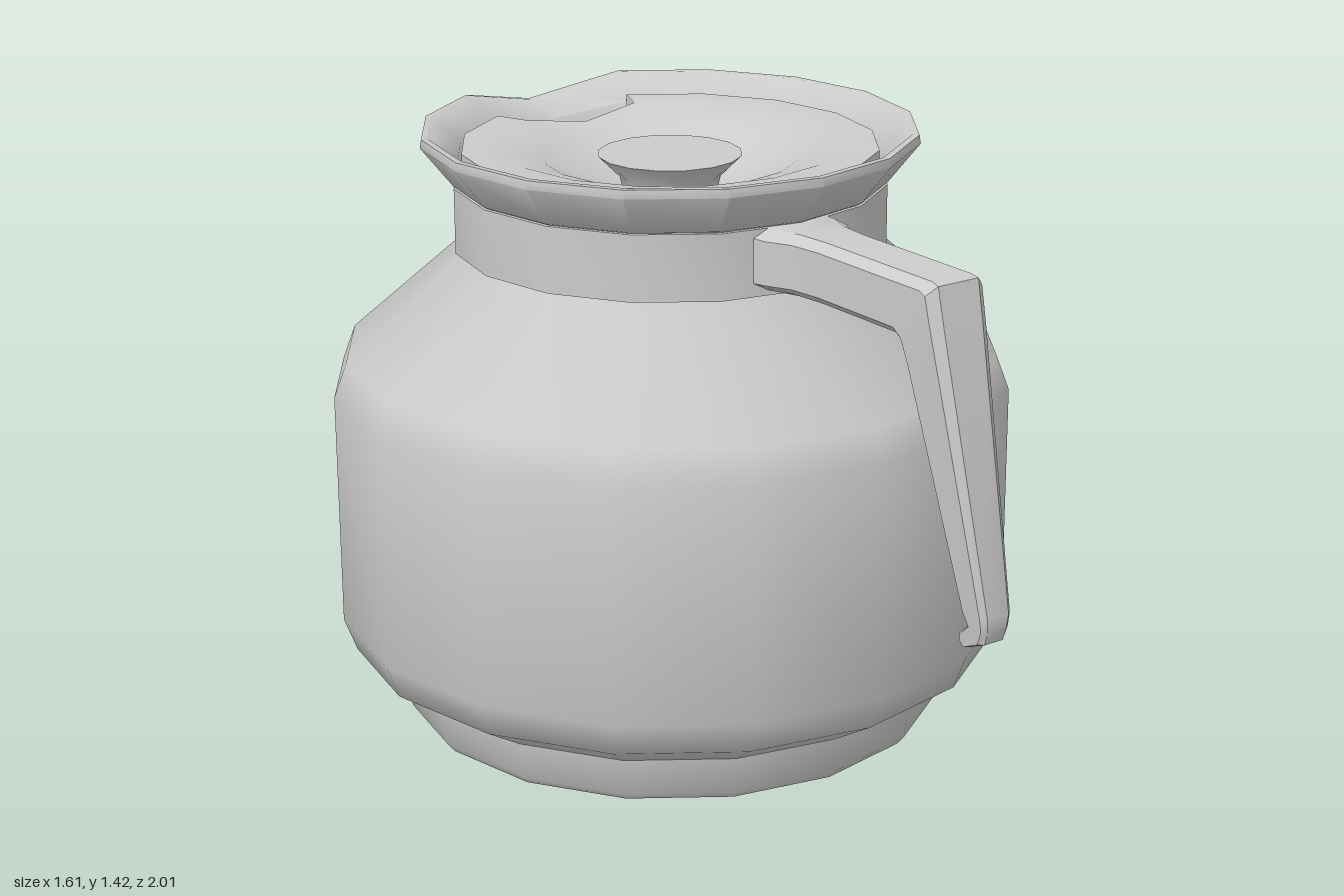
import * as THREE from 'three';
import { mergeGeometries, toCreasedNormals } from 'three/addons/utils/BufferGeometryUtils.js';

const SIDES = 16;
const AXIS_Z = -0.2; // the pot's axis sits behind the origin, the handle in front

const material = new THREE.MeshStandardMaterial({ color: 0xcccccc, side: THREE.DoubleSide });

function makeMesh(name, geometry, crease = 0.85) {
  const mesh = new THREE.Mesh(toCreasedNormals(geometry, crease), material);
  mesh.name = name;
  return mesh;
}

function lathe(profile, sides = SIDES, start = 0, length = Math.PI * 2) {
  return new THREE.LatheGeometry(profile.map(([r, y]) => new THREE.Vector2(r, y)), sides, start, length);
}

// Visit the vertices lying exactly at the back (the pouring direction)
function moveBackVertices(geometry, rule) {
  const p = geometry.attributes.position;
  for (let i = 0; i < p.count; i++) {
    if (Math.abs(p.getX(i)) < 1e-4 && p.getZ(i) < -0.3) {
      const [r, y] = rule(-p.getZ(i), p.getY(i));
      p.setXYZ(i, 0, y, -r);
    }
  }
  return geometry;
}

// Loft eight-sided sections, each given by outer [z, y], inner [z, y], half width
function handleGeometry(sections) {
  const ring = [[0.7, 0], [1, 0.14], [1, 0.86], [0.7, 1], [-0.7, 1], [-1, 0.86], [-1, 0.14], [-0.7, 0]];
  const n = ring.length;
  const positions = [];
  const index = [];
  for (const [outer, inner, w] of sections) {
    for (const [u, t] of ring) {
      positions.push(u * w, outer[1] + (inner[1] - outer[1]) * t, outer[0] + (inner[0] - outer[0]) * t);
    }
  }
  for (let s = 0; s < sections.length - 1; s++) {
    for (let k = 0; k < n; k++) {
      const a = s * n + k;
      const b = s * n + (k + 1) % n;
      index.push(a, a + n, b, b, a + n, b + n);
    }
  }
  const last = (sections.length - 1) * n;
  for (let k = 1; k < n - 1; k++) {
    index.push(0, k, k + 1, last, last + k + 1, last + k);
  }
  const geometry = new THREE.BufferGeometry();
  geometry.setAttribute('position', new THREE.Float32BufferAttribute(positions, 3));
  geometry.setIndex(index);
  return geometry;
}

export function createModel() {
  const model = new THREE.Group();
  model.name = 'coffeePot';
  const pot = new THREE.Group();
  pot.name = 'pot';
  pot.position.z = AXIS_Z;
  model.add(pot);

  // Body with stepped base, bevelled belly and sloping shoulder
  pot.add(makeMesh('body', lathe([
    [0, 0], [0.63, 0], [0.647, 0.02], [0.66, 0.11], [0.775, 0.18], [0.805, 0.26],
    [0.805, 0.82], [0.775, 0.9], [0.495, 1.147], [0.48, 1.2], [0.48, 1.31],
  ])));

  // Band clamped round the neck
  pot.add(makeMesh('collar', lathe([
    [0.47, 1.15], [0.51, 1.15], [0.51, 1.305], [0.47, 1.305],
  ])));

  // Flared rim, its back corner drawn out and down into a spout
  const rim = lathe([
    [0.49, 1.3], [0.51, 1.31], [0.585, 1.405], [0.582, 1.425], [0.565, 1.425],
    [0.5, 1.365], [0.485, 1.31], [0.4, 1.27], [0, 1.25],
  ]);
  moveBackVertices(rim, (r, y) => (y > 1.4 ? [r + 0.025, y - 0.053] : [r, Math.min(y, 1.34)]));
  pot.add(makeMesh('rimWithSpout', rim));

  // Dished lid; the outer band is left out at the back as a pouring notch
  const lidOuter = lathe([[0.49, 1.33], [0.49, 1.385], [0.4, 1.385]], SIDES - 2, -Math.PI * 7 / 8, Math.PI * 7 / 4);
  const lidInner = lathe([
    [0.4, 1.29], [0.4, 1.385], [0.3, 1.355], [0.2, 1.305], [0.1, 1.28],
  ]);
  moveBackVertices(lidInner, (r, y) => (r > 0.35 ? [0.35, Math.min(y, 1.365)] : [r, y - 0.01]));
  pot.add(makeMesh('lid', mergeGeometries([lidOuter, lidInner])));

  // Flat knob on a narrower neck, sunk into the lid
  pot.add(makeMesh('lidKnob', lathe([
    [0.11, 1.27], [0.12, 1.31], [0.17, 1.36], [0, 1.36],
  ])));

  // Handle: flares into the collar, bends down and tapers to a small hook
  model.add(makeMesh('handle', handleGeometry([
    [[0.27, 1.305], [0.27, 1.16], 0.12],
    [[0.32, 1.305], [0.32, 1.165], 0.115],
    [[0.38, 1.305], [0.38, 1.165], 0.085],
    [[0.46, 1.305], [0.46, 1.165], 0.075],
    [[0.82, 1.305], [0.705, 1.165], 0.075],
    [[0.842, 1.3], [0.735, 1.148], 0.078],
    [[0.862, 1.21], [0.757, 1.1], 0.075],
    [[1.0, 0.597], [0.922, 0.597], 0.042],
    [[0.997, 0.567], [0.94, 0.567], 0.038],
    [[0.988, 0.535], [0.905, 0.537], 0.036],
    [[0.93, 0.51], [0.915, 0.525], 0.034],
  ]), 0.6));

  return model;
}
